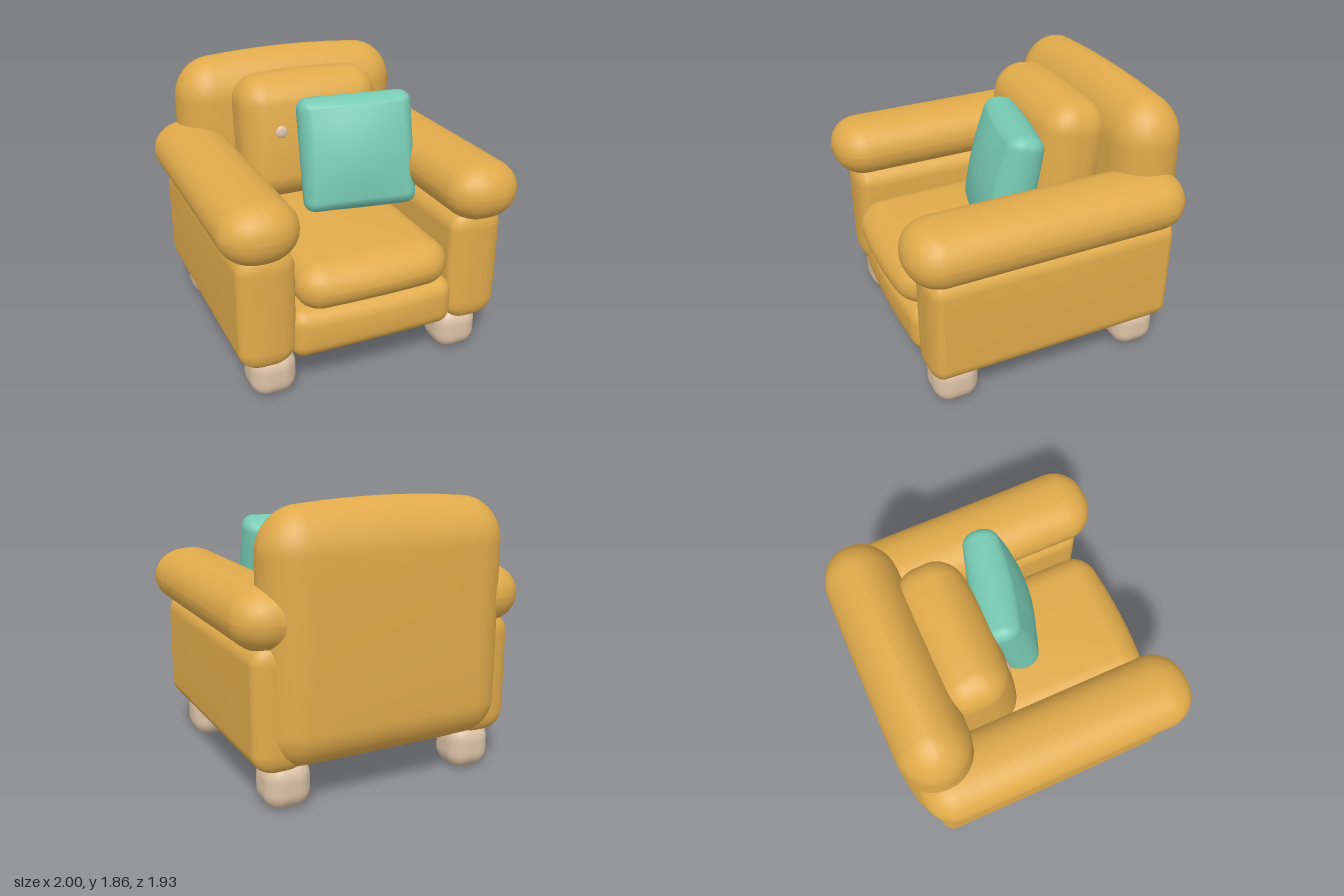
import * as THREE from 'three';
import { mergeVertices } from 'three/addons/utils/BufferGeometryUtils.js';

const mat = (name, color) => Object.assign(new THREE.MeshStandardMaterial({ color }), { name });

// Soft upholstered block: rounded corners with one radius per axis, then a gentle crown.
// The crown pushes the x and z faces both ways, and only the top face in y.
function puffGeometry(size, radius, bulge = [0, 0, 0]) {
  const n = 5, seg = n * 2 + 6;
  const geo = new THREE.BoxGeometry(2, 2, 2, seg, seg, seg);
  geo.deleteAttribute('uv');
  geo.deleteAttribute('normal');
  const pos = geo.attributes.position;
  const half = size.map((s) => s / 2);
  for (let i = 0; i < pos.count; i++) {
    const core = [], dir = new THREE.Vector3();
    for (let a = 0; a < 3; a++) {
      const t = pos.getComponent(i, a), s = Math.sign(t);
      const step = Math.abs(t) * (seg / 2), flat = seg / 2 - n;
      core[a] = s * (half[a] - radius[a]) * Math.min(1, step / flat);
      const k = Math.max(0, (step - flat) / n);
      dir.setComponent(a, s * Math.tan((k * Math.PI) / 4));
    }
    dir.normalize();
    const p = core.map((c, a) => c + dir.getComponent(a) * radius[a]);
    const u = p.map((v, a) => v / half[a]);
    const fall = u.map((v) => 1 - v * v);
    pos.setXYZ(i,
      p[0] + bulge[0] * u[0] * fall[1] * fall[2],
      p[1] + bulge[1] * Math.max(0, u[1]) * fall[0] * fall[2],
      p[2] + bulge[2] * u[2] * fall[0] * fall[1]);
  }
  const merged = mergeVertices(geo, 1e-5);
  merged.computeVertexNormals();
  return merged;
}

export function createModel() {
  const group = new THREE.Group();
  group.name = 'armchair';
  const fabric = mat('mustard fabric', 0xe0aa4b);
  const teal = mat('teal fabric', 0x76c9b2);
  const wood = mat('pale wood', 0xdcc2a6);

  function puff(name, material, size, at, radius, bulge, rotation = [0, 0, 0]) {
    const mesh = new THREE.Mesh(puffGeometry(size, radius, bulge), material);
    mesh.name = name;
    mesh.position.set(...at);
    mesh.rotation.set(...rotation);
    group.add(mesh);
    return mesh;
  }

  // Base and seat
  puff('base', fabric, [1.14, 0.34, 1.7], [0, 0.43, 0], [0.1, 0.1, 0.1], [0, 0.02, 0.03]);
  puff('seatCushion', fabric, [1.04, 0.31, 1.46], [0, 0.735, 0.16], [0.17, 0.15, 0.15], [0, 0.04, 0.04]);

  // Backrest and its leaning cushion
  puff('backrest', fabric, [1.64, 1.54, 0.46], [0, 1.03, -0.715], [0.24, 0.25, 0.225], [0, 0.055, 0.02]);
  puff('backCushion', fabric, [1.01, 0.84, 0.42], [0, 1.33, -0.32], [0.17, 0.17, 0.17],
    [0, 0.03, 0.05], [-0.12, 0, 0]);

  // Loose pillow, turned and leaning back
  puff('pillow', teal, [0.78, 0.78, 0.22], [0.205, 1.285, 0.085], [0.08, 0.08, 0.1],
    [0, 0, 0.08], [-0.24, -0.2, -0.02]);

  for (const side of [1, -1]) {
    // Arms
    puff('armPanel', fabric, [0.37, 0.8, 1.71], [side * 0.72, 0.66, 0], [0.15, 0.13, 0.08], [0.01, 0, 0]);
    puff('armRoll', fabric, [0.5, 0.39, 1.87], [side * 0.75, 1.185, 0.03], [0.23, 0.19, 0.21]);
    // Feet
    for (const z of [0.655, -0.68])
      puff('foot', wood, [0.29, 0.31, 0.29], [side * 0.665, 0.155, z], [0.1, 0.11, 0.1], [0.008, 0, 0.008]);
    // Cushion buttons
    const button = new THREE.Mesh(new THREE.SphereGeometry(0.045, 20, 12), wood);
    button.name = 'button';
    button.scale.z = 0.5;
    button.position.set(side * 0.265, 1.43, -0.095);
    button.rotation.x = -0.12;
    group.add(button);
  }
  return group;
}
